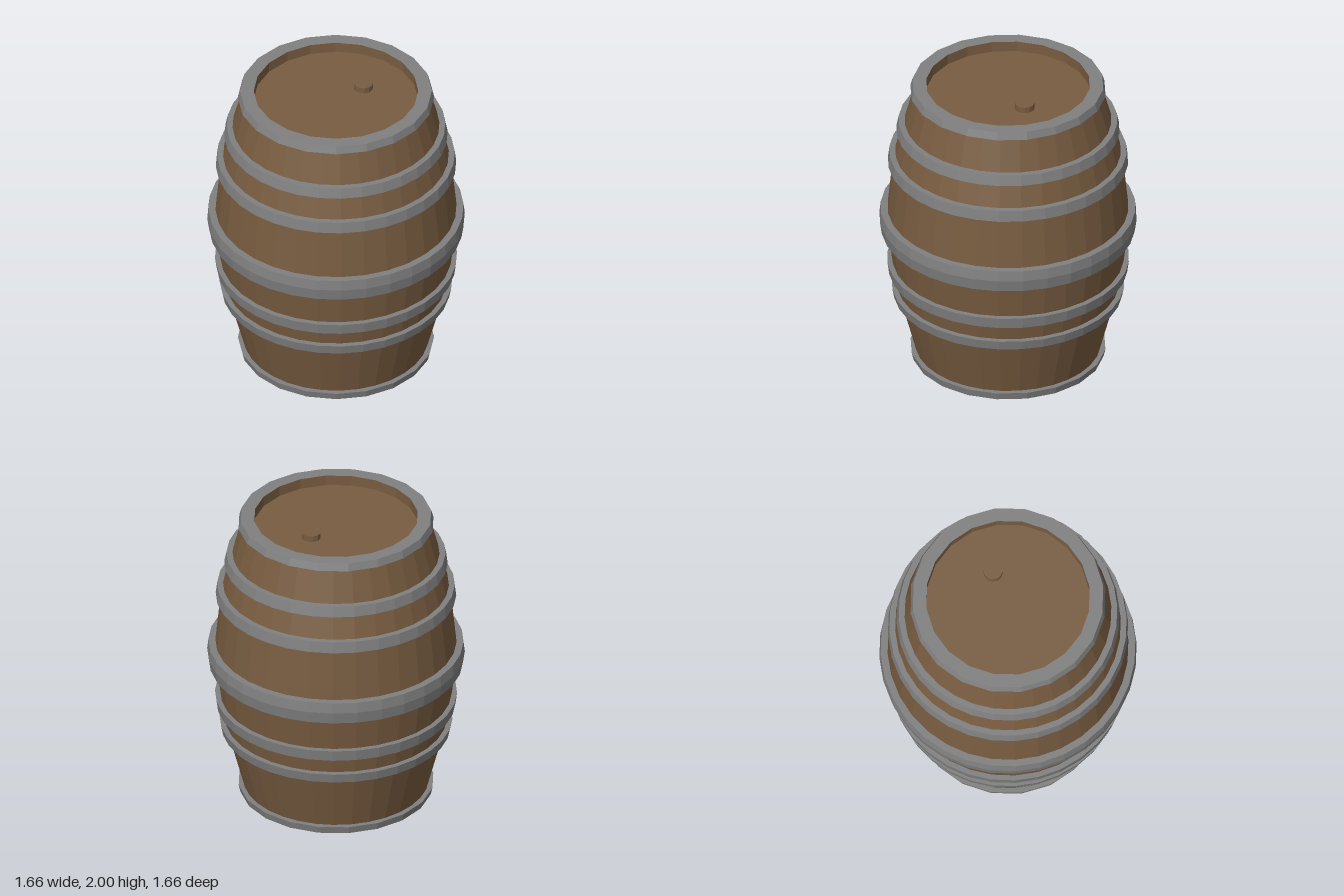
import * as THREE from 'three';

export function createModel() {
  const model = new THREE.Group();
  const wood = new THREE.MeshStandardMaterial({ color: 0x785c40, flatShading: true });
  const iron = new THREE.MeshStandardMaterial({ color: 0x808080, flatShading: true });

  function lathe(name, points, segments, material) {
    const profile = points.map(([r, y]) => new THREE.Vector2(r, y));
    const mesh = new THREE.Mesh(new THREE.LatheGeometry(profile, segments), material);
    mesh.name = name;
    model.add(mesh);
    return mesh;
  }

  // Bulging stave wall
  lathe('staves', [
    [0.585, 0.01], [0.71, 0.48], [0.742, 0.67], [0.785, 1.0],
    [0.738, 1.46], [0.675, 1.7], [0.595, 1.99],
  ], 32, wood);

  // Recessed heads, each with the inner wall of the stave ends
  const endSides = 20;
  lathe('topHead', [[0.53, 2.0], [0.53, 1.93], [0, 1.93]], endSides, wood);
  lathe('bottomHead', [[0, 0.07], [0.53, 0.07], [0.53, 0]], endSides, wood);

  // End hoops covering the stave ends
  lathe('topRimHoop', [[0.55, 1.95], [0.633, 1.95], [0.618, 2.0], [0.53, 2.0]], endSides, iron);
  lathe('bottomRimHoop', [[0.53, 0], [0.62, 0], [0.632, 0.05], [0.55, 0.05]], endSides, iron);

  // Body hoops: bottom height, top height, bottom radius, top radius
  const hoops = [
    [0.445, 0.51, 0.737, 0.75],
    [0.625, 0.7, 0.77, 0.78],
    [1.425, 1.5, 0.775, 0.765],
    [1.66, 1.73, 0.72, 0.705],
  ];
  for (const [y0, y1, r0, r1] of hoops) {
    lathe('hoop', [[r0 - 0.08, y0], [r0, y0], [r1, y1], [r1 - 0.08, y1]], 32, iron);
  }
  lathe('middleHoop', [
    [0.74, 0.93], [0.818, 0.93], [0.83, 1.01], [0.822, 1.08], [0.74, 1.08],
  ], 32, iron);

  // Bung plug on the top head
  const bung = new THREE.Mesh(new THREE.CylinderGeometry(0.062, 0.062, 0.05, 12), wood);
  bung.name = 'bung';
  bung.position.set(0, 1.945, -0.22);
  model.add(bung);

  return model;
}
